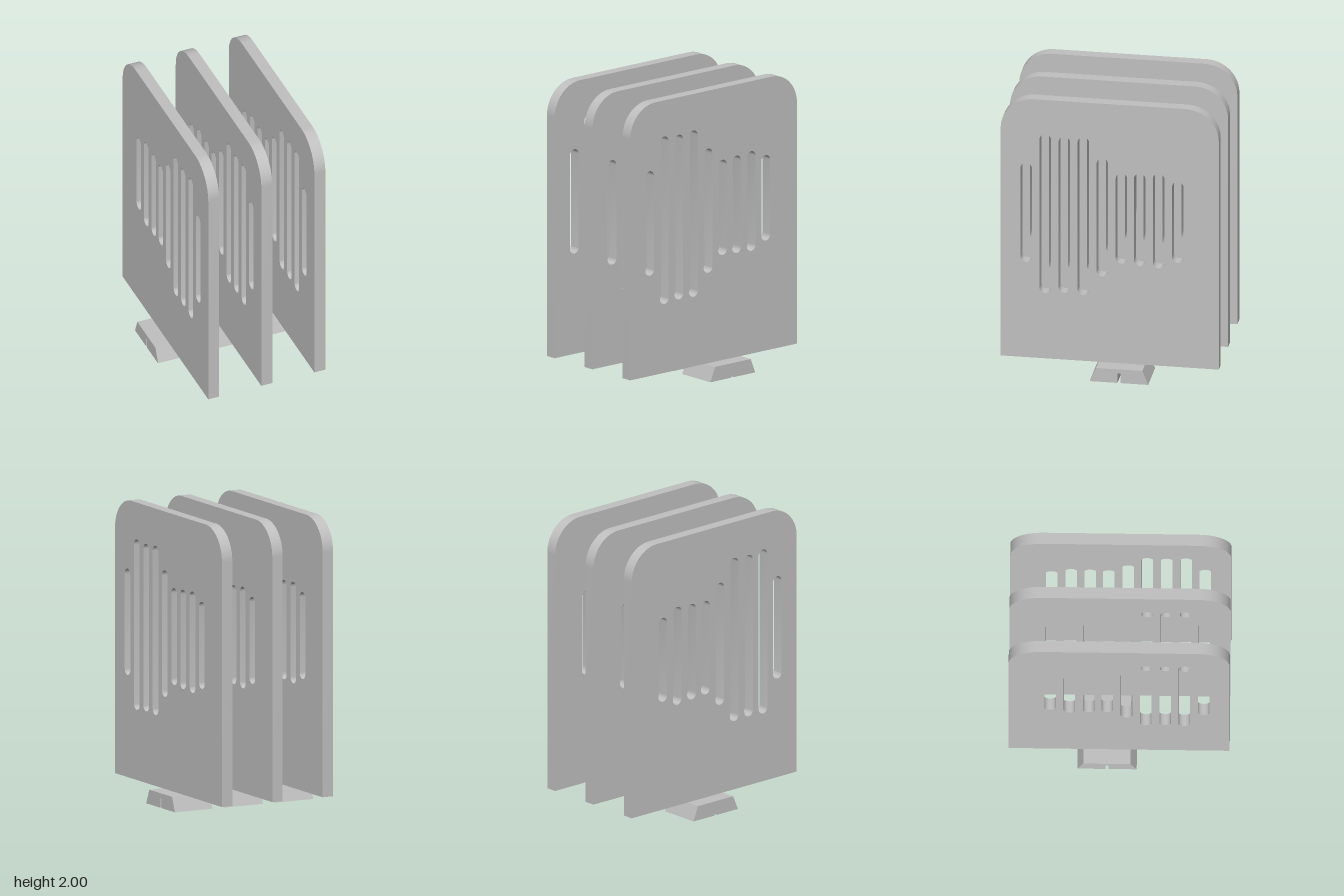
import * as THREE from 'three';
import { toCreasedNormals } from 'three/addons/utils/BufferGeometryUtils.js';

const SPACING = 0.388;

// Slots as [centre z, bottom y, top y]
const SLOTS = [
  [0.57, 0.8, 1.528], [0.44, 0.58, 1.748], [0.31, 0.59, 1.738],
  [0.18, 0.585, 1.745], [0.05, 0.73, 1.597], [-0.08, 0.832, 1.496],
  [-0.205, 0.824, 1.504], [-0.335, 0.816, 1.512], [-0.465, 0.866, 1.462],
];

// Extrudes a (z, y) profile along x, centred on x = 0
function extrudeAlongX(shape, width) {
  const geometry = new THREE.ExtrudeGeometry(shape, { depth: width, bevelEnabled: false, curveSegments: 16 });
  geometry.translate(0, 0, -width / 2);
  geometry.rotateY(-Math.PI / 2);
  return toCreasedNormals(geometry, 0.6);
}

// Tall slot with round ends
function slotPath([z, bottom, top]) {
  const r = 0.039;
  const path = new THREE.Path();
  path.moveTo(z + r, bottom + r);
  path.lineTo(z + r, top - r);
  path.absarc(z, top - r, r, 0, Math.PI, false);
  path.lineTo(z - r, bottom + r);
  path.absarc(z, bottom + r, r, Math.PI, Math.PI * 2, false);
  return path;
}

// Upright plate with two rounded top corners
function panelGeometry() {
  const half = 0.745, r = 0.225, bottom = 0.1, top = 2;
  const shape = new THREE.Shape();
  shape.moveTo(-half, bottom);
  shape.lineTo(half, bottom);
  shape.lineTo(half, top - r);
  shape.absarc(half - r, top - r, r, 0, Math.PI / 2, false);
  shape.lineTo(-half + r, top);
  shape.absarc(-half + r, top - r, r, Math.PI / 2, Math.PI, false);
  shape.closePath();
  shape.holes = SLOTS.map(slotPath);
  return extrudeAlongX(shape, 0.08);
}

// Tapered foot with a narrow groove cut into its underside
function footGeometry() {
  const profile = [
    [-0.28, 0], [-0.09, 0], [-0.09, 0.07], [-0.07, 0.07],
    [-0.07, 0], [0.12, 0], [0.077, 0.1], [-0.24, 0.1],
  ];
  const shape = new THREE.Shape(profile.map(([z, y]) => new THREE.Vector2(z, y)));
  return extrudeAlongX(shape, 0.29);
}

export function createModel() {
  const model = new THREE.Group();
  model.name = 'slottedPanels';
  const grey = new THREE.MeshStandardMaterial({ color: 0xc0c0c0 });
  grey.name = 'light grey';

  const panel = panelGeometry();
  const foot = footGeometry();
  ['right', 'middle', 'left'].forEach((side, i) => {
    const unit = new THREE.Group();
    unit.name = `${side}Divider`;
    unit.position.x = (i - 1) * SPACING;
    const panelMesh = new THREE.Mesh(panel, grey);
    panelMesh.name = `${side}Panel`;
    const footMesh = new THREE.Mesh(foot, grey);
    footMesh.name = `${side}Foot`;
    unit.add(panelMesh, footMesh);
    model.add(unit);
  });
  return model;
}
